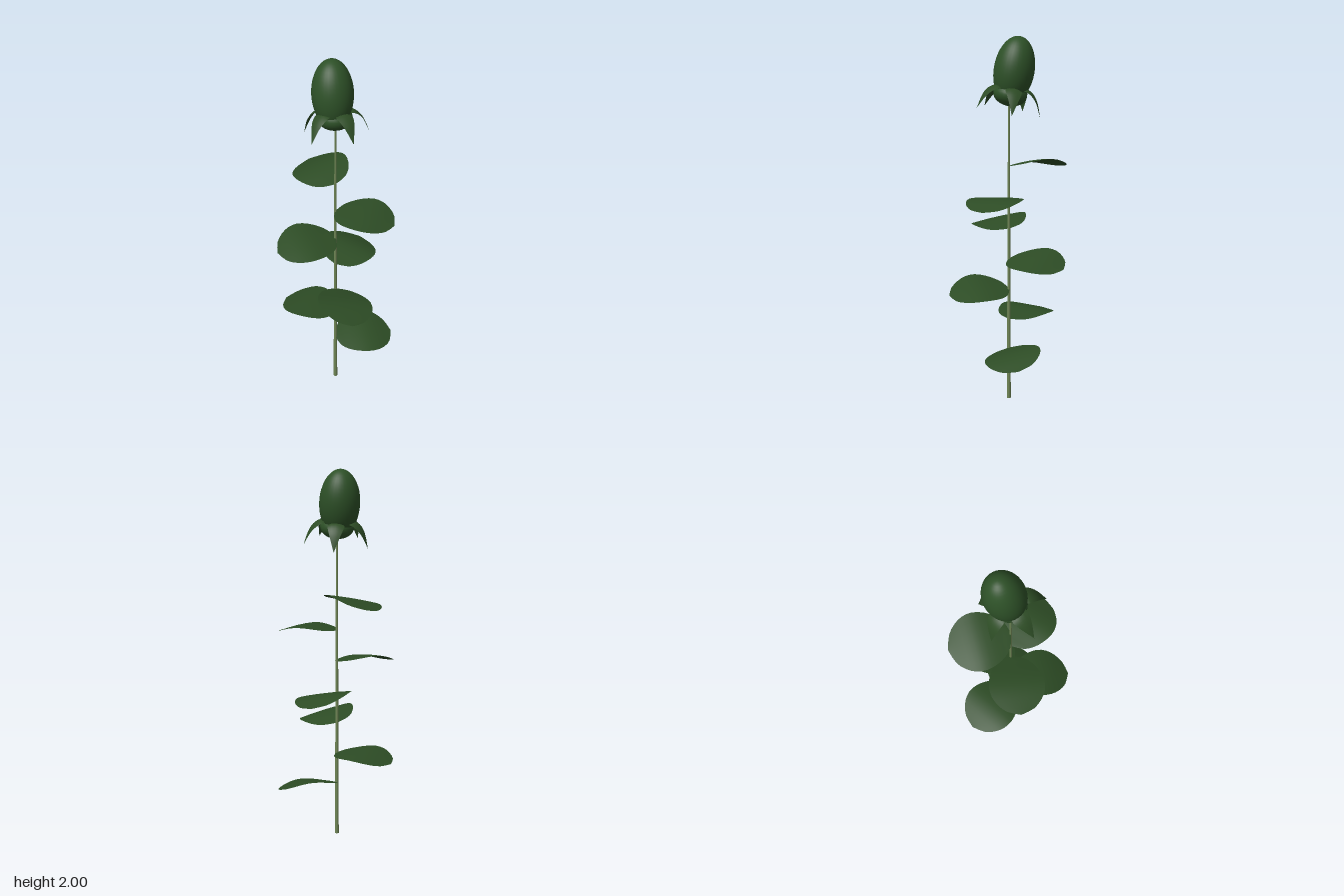
import * as THREE from 'three';

const rad = THREE.MathUtils.degToRad;

// Curved blade along +x; each station is [distance out, height, half width].
// A positive crown lowers the edges below the midrib.
function bladeGeometry(stations, rows, cols, crown) {
  const curve = new THREE.CatmullRomCurve3(stations.map((s) => new THREE.Vector3(...s)));
  const positions = [];
  const index = [];
  for (let i = 0; i <= rows; i++) {
    const p = curve.getPoint(i / rows);
    for (let j = 0; j <= cols; j++) {
      const t = (j / cols) * 2 - 1;
      positions.push(p.x, p.y - crown * p.z * t * t, p.z * t);
      if (i < rows && j < cols) {
        const a = i * (cols + 1) + j;
        const b = a + cols + 1;
        index.push(a, a + 1, b, b, a + 1, b + 1);
      }
    }
  }
  const geometry = new THREE.BufferGeometry();
  geometry.setAttribute('position', new THREE.Float32BufferAttribute(positions, 3));
  geometry.setIndex(index);
  geometry.computeVertexNormals();
  return geometry;
}

export function createModel() {
  const model = new THREE.Group();
  model.name = 'flowerBud';

  const stemGreen = new THREE.MeshStandardMaterial({ color: 0x6f8555, name: 'stemGreen' });
  const budGreen = new THREE.MeshStandardMaterial({ color: 0x2d5027, name: 'budGreen' });
  const leafGreen = new THREE.MeshStandardMaterial({ color: 0x2d4c25, name: 'leafGreen', side: THREE.DoubleSide });

  const add = (parent, name, geometry, material) => {
    const mesh = new THREE.Mesh(geometry, material);
    mesh.name = name;
    parent.add(mesh);
    return mesh;
  };

  // Slender tapering stem
  add(model, 'stem', new THREE.CylinderGeometry(0.005, 0.011, 1.66, 12), stemGreen).position.y = 0.83;

  // Broad leaves climbing in a golden-angle spiral, each with its own roll
  const leafGeometry = bladeGeometry([
    [0, 0, 0.012], [0.02, 0.004, 0.07], [0.055, 0.01, 0.108], [0.105, 0.019, 0.137],
    [0.165, 0.024, 0.153], [0.22, 0.017, 0.146], [0.265, 0.004, 0.12],
    [0.305, -0.01, 0.075], [0.33, -0.018, 0],
  ], 16, 6, 0.03);
  const rolls = [13, 1, -13, 11, -9, 3, -12];
  rolls.forEach((roll, i) => {
    const pivot = new THREE.Group();
    pivot.name = `leafPivot${i + 1}`;
    pivot.position.y = 0.295 + i * 0.17;
    pivot.rotation.y = rad(137.5 * i);
    add(pivot, 'leaf', leafGeometry, leafGreen).rotation.x = rad(roll);
    model.add(pivot);
  });

  // Flower head leaning slightly backward
  const head = new THREE.Group();
  head.name = 'flowerHead';
  head.position.set(0, 1.66, 0);
  head.rotation.x = rad(-10);
  model.add(head);

  const bud = add(head, 'closedBud', new THREE.SphereGeometry(1, 32, 24), budGreen);
  bud.scale.set(0.107, 0.178, 0.107);
  bud.position.set(-0.008, 0.165, 0);

  const receptacle = add(head, 'receptacle', new THREE.SphereGeometry(1, 24, 16), budGreen);
  receptacle.scale.set(0.09, 0.062, 0.09);
  receptacle.position.y = 0.038;

  // Five pointed sepals curling downward
  const sepalGeometry = bladeGeometry([
    [0.06, 0.072, 0.03], [0.09, 0.078, 0.044], [0.12, 0.06, 0.039],
    [0.148, 0.022, 0.025], [0.178, -0.055, 0],
  ], 12, 4, 0.25);
  for (let i = 0; i < 5; i++) {
    add(head, 'sepal', sepalGeometry, leafGreen).rotation.y = rad(72 * i);
  }

  return model;
}
